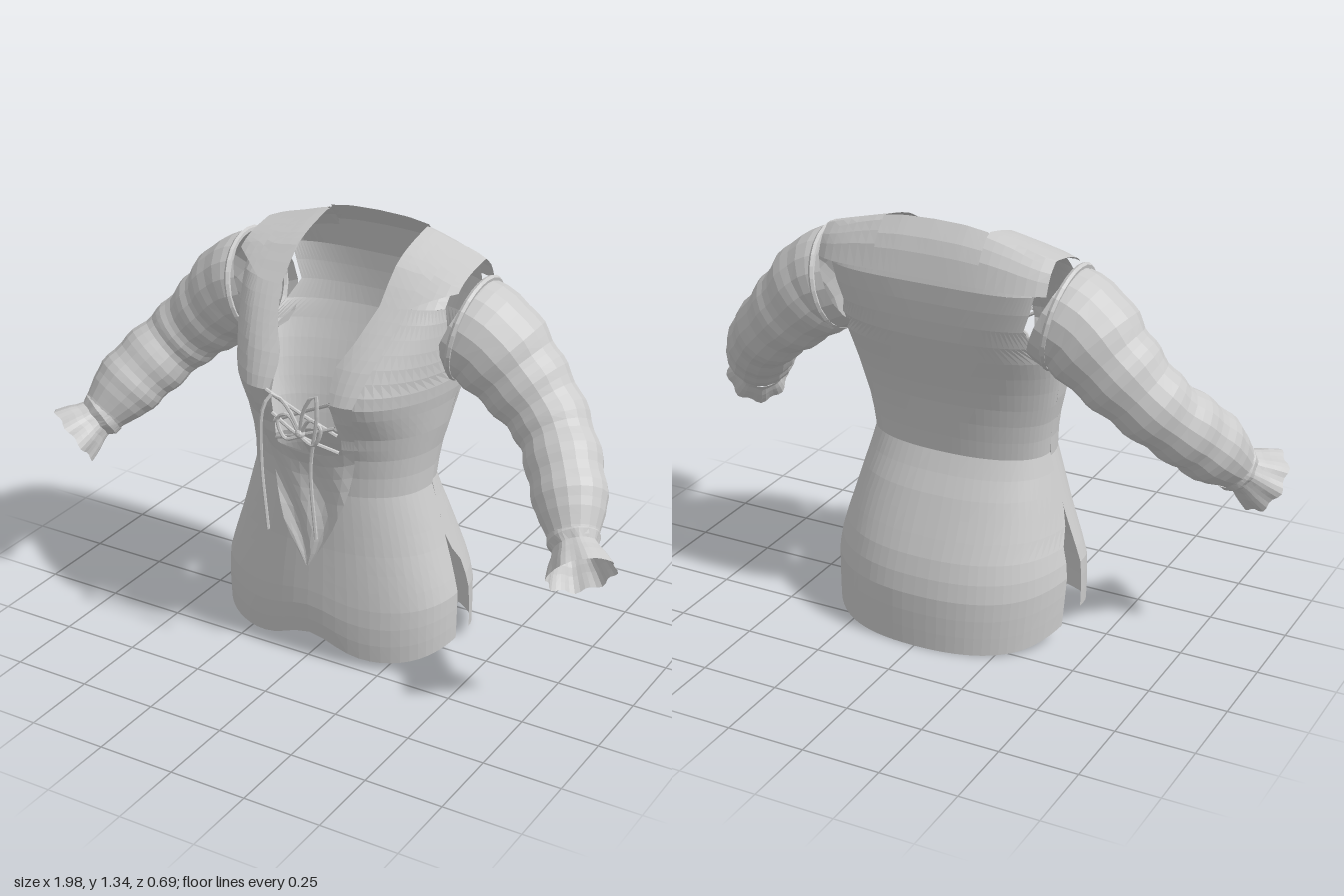
import * as THREE from 'three';

const V = (x, y, z) => new THREE.Vector3(x, y, z);
const cloth = new THREE.MeshStandardMaterial({ color: 0xcccccc, flatShading: true, side: THREE.DoubleSide });
const lerp = THREE.MathUtils.lerp;

// linear lookup in rows of [key, value, value...]
function look(rows, k) {
  let i = 0;
  while (i < rows.length - 2 && k > rows[i + 1][0]) i++;
  const t = THREE.MathUtils.clamp((k - rows[i][0]) / (rows[i + 1][0] - rows[i][0]), 0, 1);
  return rows[i].slice(1).map((a, j) => lerp(a, rows[i + 1][j + 1], t));
}

// grid surface from a rule (u, v) -> point
function sheet(name, nu, nv, rule) {
  const pos = [], idx = [];
  for (let j = 0; j <= nv; j++)
    for (let i = 0; i <= nu; i++) pos.push(...rule(i / nu, j / nv).toArray());
  for (let j = 0; j < nv; j++)
    for (let i = 0; i < nu; i++) {
      const a = j * (nu + 1) + i, b = a + nu + 1;
      idx.push(a, a + 1, b, a + 1, b + 1, b);
    }
  const g = new THREE.BufferGeometry();
  g.setAttribute('position', new THREE.Float32BufferAttribute(pos, 3));
  g.setIndex(idx);
  g.computeVertexNormals();
  const m = new THREE.Mesh(g, cloth);
  m.name = name;
  return m;
}

// body cross-sections: y, half width, front z, back z, side z, squareness
const BODY = [
  [0, .4, .245, -.34, .018, 2.3], [.1, .402, .253, -.34, .018, 2.3], [.2, .4, .248, -.335, .012, 2.3],
  [.3, .375, .24, -.3, .005, 2.3], [.4, .347, .232, -.25, 0, 2.3], [.47, .327, .228, -.215, 0, 2.3],
  [.58, .295, .22, -.15, 0, 2.3], [.68, .305, .225, -.16, -.01, 2.3], [.78, .33, .262, -.178, -.03, 2.2],
  [.86, .345, .322, -.205, -.05, 2.1], [.91, .358, .342, -.222, -.07, 2.1], [1, .365, .275, -.25, -.08, 2.4],
  [1.08, .365, .197, -.26, -.09, 3], [1.17, .365, .106, -.262, -.09, 4]];
// half width of the neck opening by height
const OPEN = [[.7, .12], [.78, .12], [.92, .1], [1, .095], [1.08, .14], [1.17, .172]];
// hollow between the two sides of the chest, by height
const HOLLOW = [[.74, 0], [.88, .085], [1, .06], [1.12, .015], [1.17, 0]];
// how far the panel edges stay from the side line: slit below, armhole above
const ARMHOLE = [[.93, 0], [.98, .08], [1.05, .125], [1.17, .125]];
const GAP_BACK = [[0, .11], [.1, .1], [.3, .06], [.38, 0], ...ARMHOLE];
const TOP = 1.17, NECK = .172, SHOULDER = .348;

// depth of the body at height y and distance x from the middle
function depth(y, x, front) {
  const [w, zf, zb, zc, n] = look(BODY, y);
  const k = Math.pow(Math.max(0, 1 - Math.pow(Math.min(1, Math.abs(x) / w), n)), 1 / n);
  return zc + ((front ? zf : zb) - zc) * k - (front ? look(HOLLOW, y)[0] * Math.exp(-((x / .13) ** 2)) : 0);
}
const hemFront = x => .02 + .06 * Math.exp(-((x / .12) ** 2)) + .045 * (x / .4) ** 6;
const hemBack = x => .06 * (x / .4) ** 8;
const drop = (y, hem) => y + hem * Math.max(0, 1 - y / .4);
// section angle at which a panel ends, and distance x at an angle
const endAngle = (gap, span, n) => Math.acos(Math.pow(gap / span, n / 2));
const across = (a, w, n) => Math.sign(a) * w * Math.pow(Math.abs(Math.sin(a)), 2 / n);

// front panel on one side, from opening edge to side seam
function frontPanel(s, y0, y1, rows, open) {
  return sheet('frontPanel', 16, rows, (u, v) => {
    const y = lerp(y0, y1, v), [w, zf, , zc, n] = look(BODY, y);
    const o = open ? look(OPEN, y)[0] : 0;
    const a = lerp(Math.asin(Math.pow(o / w, n / 2)), endAngle(look(ARMHOLE, y)[0], zf - zc, n), u);
    const x = across(a, w, n);
    return V(s * x, drop(y, hemFront(x)), depth(y, x, true));
  });
}

// back panel, down to the longer back hem
function backPanel() {
  return sheet('backPanel', 36, 20, (u, v) => {
    const y = v * TOP, [w, , zb, zc, n] = look(BODY, y);
    const x = across((u * 2 - 1) * endAngle(look(GAP_BACK, y)[0], zc - zb, n), w, n);
    return V(x, drop(y, hemBack(x)), depth(y, x, false));
  });
}

// shoulder arch from front (t = 0) to back (t = 1)
const ARCH = [[0, 0], [.13, .33], [.256, .6], [.38, .74], [.51, .84], [.77, 1], [.91, .65], [1, 0]];
const RIDGE = [[0, 1.34], [.1, 1.337], [.18, 1.325], [.28, 1.295], [.38, 1.265]];
function shoulder(x, t, sx = x) {
  const z = lerp(depth(TOP, sx, true), depth(TOP, sx, false), t);
  return V(x, TOP + (look(RIDGE, Math.abs(x))[0] - TOP) * look(ARCH, t)[0], z);
}
// collar lies a little outside the shoulder
const collar = (x, t, sx) => shoulder(x, t, sx).add(V(0, .006 * Math.sin(t * Math.PI), .01 * (1 - 2 * t)));

// sleeve path and radii
const ARM = new THREE.CatmullRomCurve3([V(.35, 1.085, -.085), V(.43, 1.05, -.087), V(.535, .955, -.09),
  V(.66, .835, -.062), V(.765, .715, .04), V(.845, .592, .152)]);
const ARM_R = [[0, .155], [.1, .163], [.25, .146], [.45, .122], [.58, .114], [.7, .116], [.82, .112], [.91, .1],
  [.95, .082], [1, .072]];
const FRAMES = ARM.computeFrenetFrames(30, false);

function sleeve(s) {
  return sheet('sleeve', 18, 30, (u, v) => {
    const i = Math.round(v * 30), a = u * Math.PI * 2;
    const puff = 1 + .035 * Math.sin(v * 40) * Math.min(1, v * 6) * Math.min(1, (1 - v) * 6);
    const r = look(ARM_R, v)[0] * puff;
    const p = ARM.getPointAt(v).addScaledVector(FRAMES.normals[i], r * Math.cos(a))
      .addScaledVector(FRAMES.binormals[i], r * Math.sin(a));
    return V(s * p.x, p.y, p.z);
  });
}

// fluted ruffle flaring from the wrist
function ruffle(s) {
  const c = ARM.getPointAt(1), d = V(.54, -.54, .64).normalize();
  const e = V(0, 1, 0).cross(d).normalize(), f = d.clone().cross(e);
  return sheet('cuffRuffle', 40, 6, (u, v) => {
    const a = u * Math.PI * 2, wave = Math.cos(a * 8) * v;
    const r = look([[0, .076], [.18, .08], [.36, .064], [.7, .088], [1, .102]], v)[0] + .006 * wave;
    const p = c.clone().addScaledVector(d, -.025 + .135 * v + .004 * wave)
      .addScaledVector(e, r * Math.cos(a)).addScaledVector(f, r * Math.sin(a));
    return V(s * p.x, p.y, p.z);
  });
}

// thin cord through a few points
function cord(name, pts) {
  const curve = new THREE.CatmullRomCurve3(pts.map(p => V(...p)));
  const m = new THREE.Mesh(new THREE.TubeGeometry(curve, 20, .006, 6), cloth);
  m.name = name;
  return m;
}

export function createModel() {
  const g = new THREE.Group();
  g.name = 'lacedShirt';
  g.add(backPanel());
  // back of the neck and collar across it
  g.add(sheet('backYoke', 16, 5, (u, v) => shoulder((u * 2 - 1) * NECK, lerp(.77, 1, v))));
  g.add(sheet('backCollar', 16, 4, (u, v) => collar((u * 2 - 1) * NECK, lerp(.77, .985, v))));

  for (const s of [1, -1]) {
    g.add(frontPanel(s, 0, .7, 11, false), frontPanel(s, .7, TOP, 12, true));
    g.add(sheet('shoulderYoke', 8, 14, (u, v) => shoulder(s * lerp(NECK, SHOULDER, u), v)));
    // collar over the shoulder, its front edge rising to the outer tip
    g.add(sheet('collar', 7, 16, (u, v) =>
      collar(s * lerp(NECK, .378, u), lerp(.3 * Math.max(0, u - .4), .985, v), lerp(NECK, .335, u))));
    // lapel along the neck edge
    g.add(sheet('lapel', 4, 14, (u, v) => {
      const y = lerp(.71, TOP, v), outer = look([[.71, .15], [.9, .18], [1.17, .26]], y)[0];
      const x = lerp(look(OPEN, y)[0], outer, u);
      return V(s * x, y, depth(y, x, true) + .01);
    }));
    g.add(sleeve(s), ruffle(s));
    // armhole seam
    const seam = new THREE.Mesh(new THREE.TorusGeometry(.16, .01, 6, 28), cloth);
    seam.name = 'armholeSeam';
    seam.position.set(s * .385, 1.075, -.085);
    seam.rotation.set(0, s * Math.PI / 2, s * -.2, 'ZYX');
    g.add(seam);
  }

  // pointed insert below the opening, with soft creases
  g.add(sheet('frontInsert', 10, 9, (u, v) => {
    const y = lerp(.32, .74, v), k = u * 2 - 1;
    const x = k * look([[0, .004], [.3, .08], [.6, .13], [1, .16]], v)[0];
    const crease = .01 * Math.sin(u * 11 + v * 6) * Math.sin(v * Math.PI);
    return V(x, y - .03 * v * (1 - k * k), depth(y, x, true) + .015 + crease);
  }));

  // crossed laces, bow and hanging ends
  for (const s of [1, -1]) {
    for (const [y0, y1] of [[.91, .79], [.82, .73]])
      g.add(cord('lace', [[-s * .11, y0, depth(y0, .11, true) + .012], [0, (y0 + y1) / 2, .275 + s * .007],
        [s * .11, y1, depth(y1, .11, true) + .012]]));
    g.add(cord('bowLoop', [[0, .78, .285], [s * .04, .84, .29], [s * .075, .82, .29], [s * .05, .76, .29], [0, .775, .285]]));
  }
  g.add(cord('longLaceEnd', [[0, .79, .285], [-.04, .87, .295], [-.075, .91, .315], [-.095, .87, .337],
    [-.105, .7, .337], [-.085, .465, .337]]));
  g.add(cord('shortLaceEnd', [[0, .79, .285], [.02, .87, .295], [.06, .93, .295], [.065, .86, .295],
    [.035, .68, .283], [.05, .44, .28]]));
  const knot = new THREE.Mesh(new THREE.IcosahedronGeometry(.016, 1), cloth);
  knot.name = 'laceKnot';
  knot.position.set(0, .785, .285);
  g.add(knot);
  return g;
}
